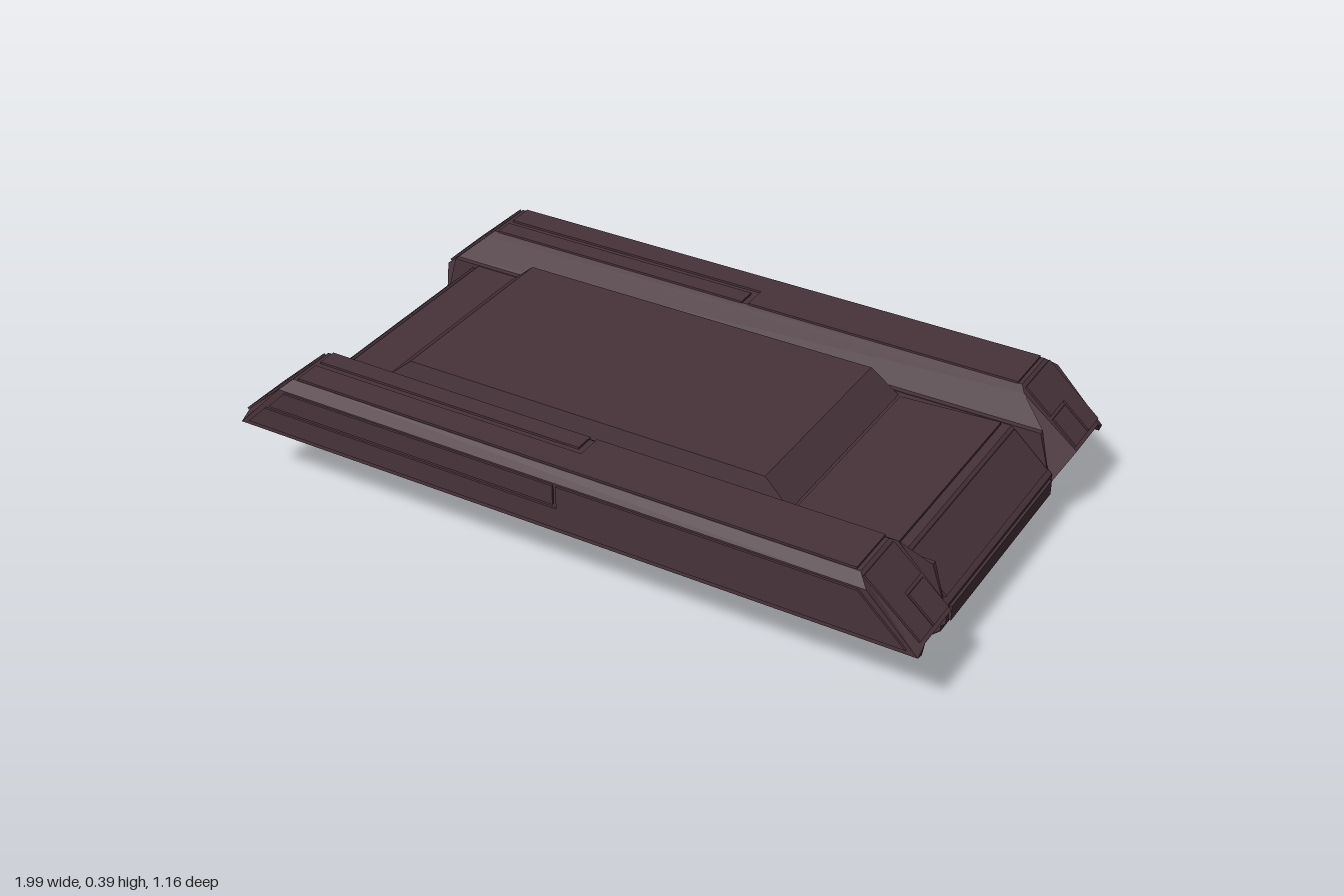
import * as THREE from 'three';

const V = (x, y, z) => new THREE.Vector3(x, y, z);

// Thin plate: 2D outline laid on the plane (origin, u, v), thick along u x v
function plate(outline, origin, u, v, t = 0.007) {
  const shape = new THREE.Shape(outline.map(([a, b]) => new THREE.Vector2(a, b)));
  const geo = new THREE.ExtrudeGeometry(shape, { depth: t, bevelEnabled: false });
  u.normalize();
  v.normalize();
  const m = new THREE.Matrix4().makeBasis(u, v, u.clone().cross(v)).setPosition(origin);
  return geo.applyMatrix4(m);
}
const rect = (a0, b0, a1, b1) => [[a0, b0], [a1, b0], [a1, b1], [a0, b1]];

// Body along x from a (z, y) section; each section point has its own half length
function loft(section, halfLength) {
  const n = section.length, pos = [], idx = [];
  for (const s of [-1, 1]) for (const [z, y] of section) pos.push(s * halfLength(y), y, z);
  for (let i = 0; i < n; i++) {
    const j = (i + 1) % n;
    idx.push(i, i + n, j, j, i + n, j + n);
  }
  const caps = THREE.ShapeUtils.triangulateShape(section.map(([z, y]) => new THREE.Vector2(z, y)), []);
  for (const [a, b, c] of caps) idx.push(a, b, c, a + n, c + n, b + n);
  const geo = new THREE.BufferGeometry();
  geo.setAttribute('position', new THREE.Float32BufferAttribute(pos, 3));
  geo.setIndex(idx);
  const flat = geo.toNonIndexed();
  flat.computeVertexNormals();
  return flat;
}

// Mirror across z, keeping faces outward
function mirrorZ(geo) {
  const g = geo.index ? geo.toNonIndexed() : geo.clone();
  const p = g.attributes.position;
  for (let i = 0; i < p.count; i += 3) {
    const t = [0, 1, 2].map(k => V().fromBufferAttribute(p, i + k));
    [t[0], t[2], t[1]].forEach((q, k) => p.setXYZ(i + k, q.x, q.y, -q.z));
  }
  g.computeVertexNormals();
  return g;
}

export function createModel() {
  const plum = new THREE.MeshStandardMaterial({ color: 0x48333b });
  plum.name = 'darkPlum';
  plum.flatShading = true;
  const group = new THREE.Group();
  group.name = 'armouredHull';
  const add = (name, geo) => {
    const mesh = new THREE.Mesh(geo, plum);
    mesh.name = name;
    group.add(mesh);
  };
  const addPair = (name, geo) => {
    add(name + 'Front', geo);
    add(name + 'Back', mirrorZ(geo));
  };

  // Central hull, a side profile extruded across z
  const half = [[0.83, 0], [0.945, 0.105], [0.945, 0.12], [0.957, 0.128], [0.957, 0.185], [0.835, 0.298]];
  const profile = [...half, ...half.slice().reverse().map(([x, y]) => [-x, y])];
  add('hull', plate(profile, V(0, 0, -0.325), V(1, 0, 0), V(0, 1, 0), 0.65));

  // Raised deck with sloping sides
  const deck = new THREE.BoxGeometry(1, 1, 1);
  const dp = deck.attributes.position;
  for (let i = 0; i < dp.count; i++) {
    const top = dp.getY(i) > 0;
    const right = dp.getX(i) > 0;
    const x = top ? (right ? 0.44 : -0.63) : (right ? 0.52 : -0.71);
    dp.setXYZ(i, x, top ? 0.365 : 0.296, Math.sign(dp.getZ(i)) * (top ? 0.295 : 0.307));
  }
  deck.computeVertexNormals();
  add('raisedDeck', deck);
  add('deckHatch', plate([[0.53, -0.29], [0.81, -0.31], [0.81, 0.31], [0.53, 0.29]],
    V(0, 0.297, 0), V(1, 0, 0), V(0, 0, -1), 0.009));

  // Panels on both hull ends
  for (const s of [1, -1]) {
    const end = s > 0 ? 'Left' : 'Right';
    const u = () => V(0, 0, -s);
    const upper = () => V(-s * 0.122, 0.113, 0);
    const slope = V(s * 0.957, 0.185, 0);
    if (s > 0) {
      add('upperPanel' + end, plate(rect(-0.312, 0.018, 0.312, 0.155), slope, u(), upper()));
    } else {
      // Stepped pair of interlocking panels
      add('upperPanelLow' + end, plate([[-0.312, 0.012], [0.312, 0.012], [0.312, 0.155],
        [0.01, 0.155], [0.01, 0.09], [-0.02, 0.06], [-0.312, 0.06]], slope, u(), upper()));
      add('upperPanelHigh' + end, plate(rect(-0.312, 0.076, -0.006, 0.155), slope, u(), upper()));
    }
    add('middlePanel' + end, plate(rect(-0.31, 0.133, 0.31, 0.176), V(s * 0.957, 0, 0), u(), V(0, 1, 0)));
    add('lowerPanel' + end, plate(rect(-0.31, 0.012, 0.31, 0.142), V(s * 0.83, 0, 0), u(), V(s * 0.115, 0.105, 0)));
  }

  // Side pods with sloping ends and a lowered outer skirt
  const section = [[0.32, 0.155], [0.39, 0.23], [0.535, 0.23], [0.55, 0.205], [0.572, 0.21],
    [0.572, 0.355], [0.545, 0.381], [0.395, 0.381], [0.376, 0.368], [0.335, 0.3], [0.32, 0.3]];
  const podLength = y => (y < 0.2 ? 0.955 : y < 0.225 ? 0.995 : 0.995 - (y - 0.23) * 1.12);
  addPair('sidePod', loft(section, podLength));

  // Pod roof plates, separated by a stepped groove
  const roof = outline => plate(outline, V(0, 0.381, 0), V(1, 0, 0), V(0, 0, -1), 0.006);
  addPair('roofPlateInner', roof(rect(-0.81, -0.447, -0.006, -0.392)));
  addPair('roofPlateOuter', roof([[-0.81, -0.543], [0.815, -0.543], [0.815, -0.392], [0.014, -0.392],
    [0.014, -0.467], [-0.81, -0.467]]));

  // Pod side plates with a matching step
  const side = outline => plate(outline, V(0, 0, 0.572), V(1, 0, 0), V(0, 1, 0), 0.006);
  addPair('sidePlateLower', side([[-0.965, 0.225], [0.965, 0.225], [0.835, 0.35], [0.008, 0.35],
    [0.008, 0.284], [-0.905, 0.284]]));
  addPair('sidePlateUpper', side([[-0.89, 0.294], [-0.002, 0.294], [-0.002, 0.35], [-0.835, 0.35]]));

  // Sloping end plates of the pods, measured up the slope
  for (const s of [1, -1]) {
    const face = outline => plate(s > 0 ? outline.map(([z, h]) => [-z, h]).reverse() : outline,
      V(s * 0.995, 0.23, 0), V(0, 0, -s), V(-s * 1.12, 1, 0), 0.006);
    if (s > 0) {
      addPair('endPlateLeft', face([[0.483, 0.012], [0.55, 0.012], [0.55, 0.215], [0.395, 0.215],
        [0.395, 0.115], [0.483, 0.115]]));
      addPair('endInsetLeft', face(rect(0.395, 0.012, 0.475, 0.105)));
    } else {
      addPair('endPlateRight', face([[0.395, 0.012], [0.55, 0.012], [0.55, 0.1], [0.452, 0.1],
        [0.452, 0.215], [0.395, 0.215]]));
      addPair('endInsetRight', face(rect(0.46, 0.11, 0.55, 0.215)));
    }
  }

  return group;
}
